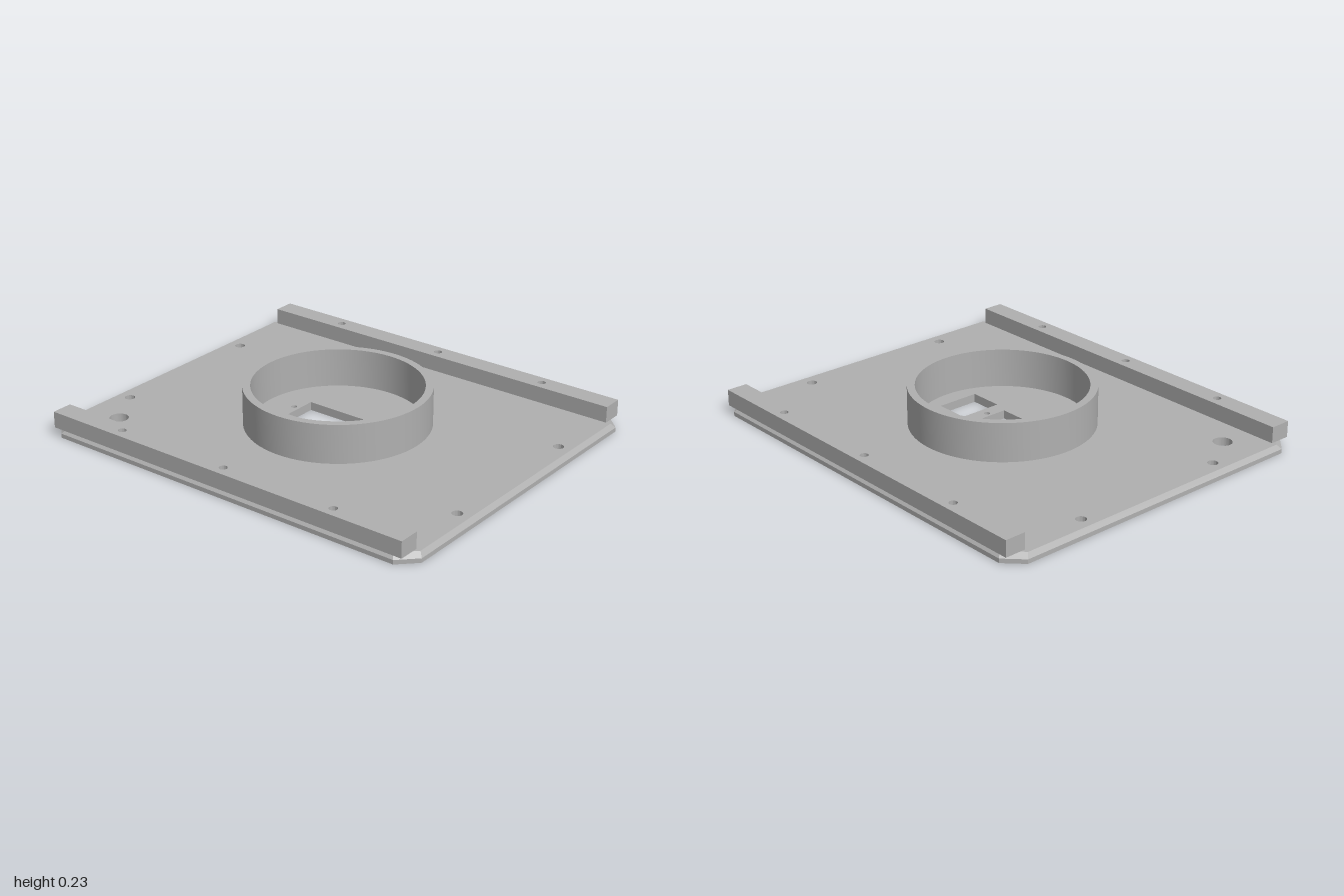
import * as THREE from 'three';
import { toCreasedNormals } from 'three/addons/utils/BufferGeometryUtils.js';

const PLATE_TOP = 0.04;

// Closed path from [x, z] points, drawn on the ground plane
function polygon(Type, points) {
  const path = new Type();
  path.setFromPoints(points.map(([x, z]) => new THREE.Vector2(x, -z)));
  path.closePath();
  return path;
}

const rect = (Type, x0, x1, z0, z1) =>
  polygon(Type, [[x0, z0], [x1, z0], [x1, z1], [x0, z1]]);

function circle(Type, x, z, r) {
  const path = new Type();
  path.absarc(x, -z, r, 0, Math.PI * 2, false);
  return path;
}

// Extrude a ground-plane shape upwards from y
function slab(shape, y, height, curveSegments = 24, steps = 1) {
  const geo = new THREE.ExtrudeGeometry(shape, { depth: height, bevelEnabled: false, curveSegments, steps });
  geo.rotateX(-Math.PI / 2);
  geo.translate(0, y, 0);
  return geo;
}

export function createModel() {
  const group = new THREE.Group();
  const grey = new THREE.MeshStandardMaterial({ color: 0xb0b0b0 });
  grey.name = 'grey';

  const add = (name, geo) => {
    const mesh = new THREE.Mesh(toCreasedNormals(geo, 0.5), grey);
    mesh.name = name;
    group.add(mesh);
  };

  // Base plate with clipped corners and all its openings
  const plate = polygon(THREE.Shape, [
    [-1, 0.75], [-0.92, 0.83], [0.92, 0.83], [1, 0.75],
    [1, -0.75], [0.92, -0.83], [-0.92, -0.83], [-1, -0.75],
  ]);
  plate.holes.push(
    rect(THREE.Path, -0.225, 0.08, -0.085, 0.08),
    rect(THREE.Path, 0.15, 0.31, -0.105, 0.1),
    circle(THREE.Path, -0.255, 0, 0.014),
    circle(THREE.Path, 0.108, 0, 0.014),
    circle(THREE.Path, -0.805, 0.58, 0.044),
  );
  for (const x of [-0.92, 0.92])
    for (const z of [-0.39, 0.39]) plate.holes.push(circle(THREE.Path, x, z, 0.024));

  // Two layers; the rim of the top one is pulled in to slope the edge
  const plateGeo = slab(plate, 0, PLATE_TOP, 24, 2);
  const pos = plateGeo.attributes.position;
  for (let i = 0; i < pos.count; i++) {
    const x = pos.getX(i), y = pos.getY(i), z = pos.getZ(i);
    if (Math.abs(x) + Math.abs(z) > 1.7 && y > 0.03) pos.setXYZ(i, x * 0.982, y, z * 0.978);
  }
  add('basePlate', plateGeo);

  // Round collar
  const collar = circle(THREE.Shape, 0, 0, 0.428);
  collar.holes.push(circle(THREE.Path, 0, 0, 0.392));
  add('collar', slab(collar, PLATE_TOP, 0.185, 64));

  // Front and back rails with three screw holes each
  for (const side of [1, -1]) {
    const rail = rect(THREE.Shape, -0.96, 0.96, side * 0.78 - 0.05, side * 0.78 + 0.05);
    for (const x of [-0.585, 0, 0.585]) rail.holes.push(circle(THREE.Path, x, side * 0.78, 0.019));
    add(side > 0 ? 'frontRail' : 'backRail', slab(rail, PLATE_TOP, 0.077));
  }
  return group;
}
